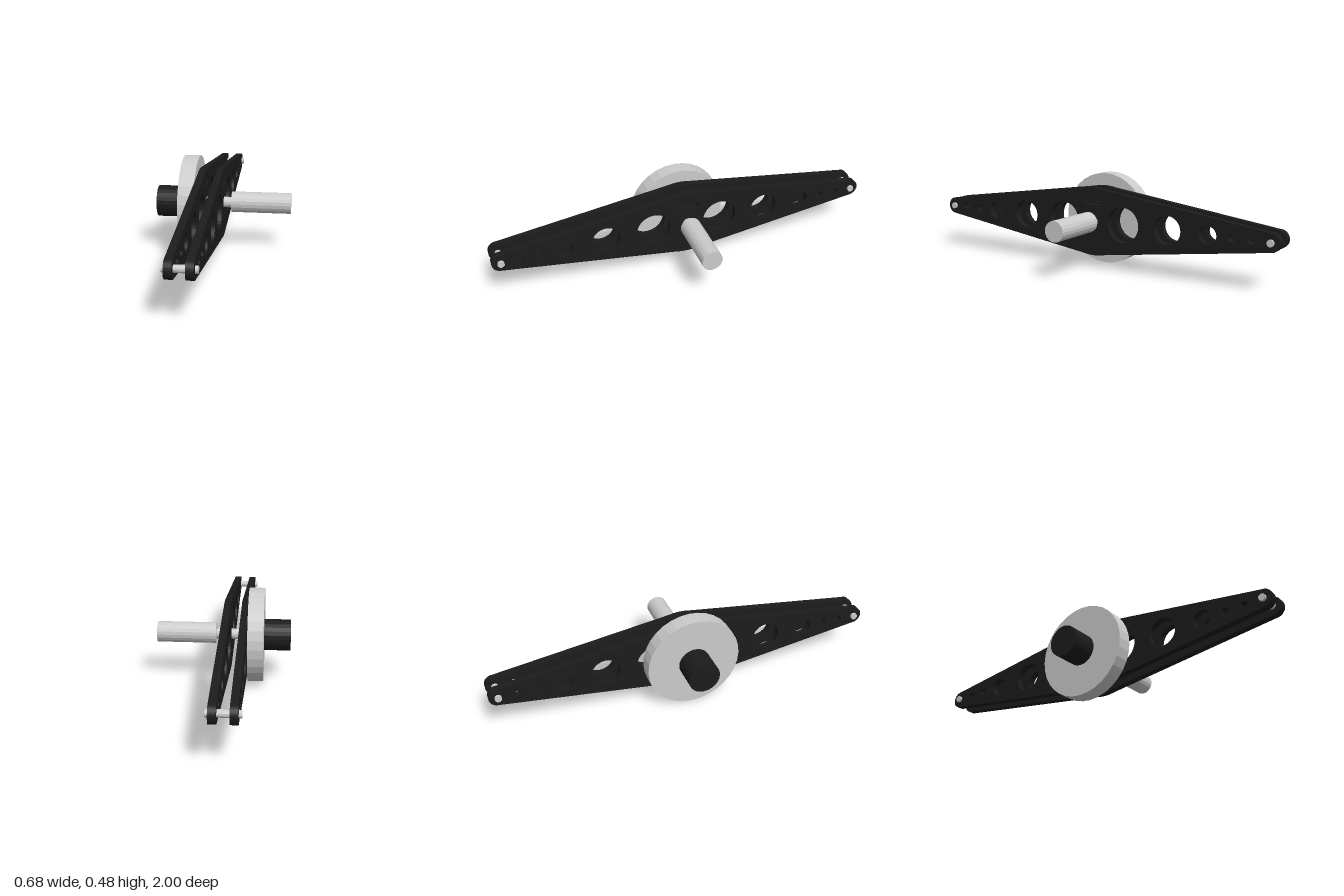
import * as THREE from 'three';

const CY = 0.241; // height of the main axis

export function createModel() {
  const root = new THREE.Group();
  const grey = new THREE.MeshStandardMaterial({ color: 0xcccccc, flatShading: true });
  const black = new THREE.MeshStandardMaterial({ color: 0x1c1c1c, flatShading: true });

  // Cylinder lying along x from x0 to x1
  function rod(name, x0, x1, r, sides, mat, y = CY, z = 0) {
    const geo = new THREE.CylinderGeometry(r, r, x1 - x0, sides).rotateZ(-Math.PI / 2);
    const mesh = new THREE.Mesh(geo, mat);
    mesh.name = name;
    mesh.position.set((x0 + x1) / 2, y, z);
    root.add(mesh);
  }

  // Tapered arm plate: rounded tips, softly rounded crown
  const tip = 0.045, tipZ = 1 - tip;
  const plate = new THREE.Shape();
  plate.moveTo(tipZ, tip);
  plate.lineTo(0.06, 0.17);
  plate.quadraticCurveTo(0, 0.183, -0.06, 0.17);
  plate.lineTo(-tipZ, tip);
  plate.absarc(-tipZ, 0, tip, Math.PI / 2, Math.PI * 1.5, false);
  plate.lineTo(-0.06, -0.17);
  plate.quadraticCurveTo(0, -0.183, 0.06, -0.17);
  plate.lineTo(tipZ, -tip);
  plate.absarc(tipZ, 0, tip, -Math.PI / 2, Math.PI / 2, false);

  // Lightening holes, shrinking toward the tips
  const holes = [[0.18, 0.09], [0.43, 0.073], [0.645, 0.045], [0.767, 0.019], [0.862, 0.018]];
  for (const side of [-1, 1]) {
    for (const [d, r] of holes) {
      plate.holes.push(new THREE.Path().absarc(side * d, 0, r, 0, Math.PI * 2, true));
    }
  }

  // Narrow slot above the shaft
  plate.holes.push(new THREE.Path([
    [-0.058, 0.09], [-0.058, 0.112], [0.058, 0.112], [0.058, 0.09], [-0.058, 0.09],
  ].map(([a, b]) => new THREE.Vector2(a, b))));

  const plateGeo = new THREE.ExtrudeGeometry(plate, { depth: 0.035, bevelEnabled: false, curveSegments: 16 });
  plateGeo.rotateY(Math.PI / 2);
  for (const [name, x] of [['innerArmPlate', -0.128], ['outerArmPlate', -0.039]]) {
    const mesh = new THREE.Mesh(plateGeo, black);
    mesh.name = name;
    mesh.position.set(x, CY, 0);
    root.add(mesh);
  }

  // Pins joining the plate tips
  for (const z of [-tipZ, tipZ]) rod('tipPin', -0.142, 0.009, 0.017, 16, grey, CY, z);

  // Central axis: knob, disc, shaft and handle
  rod('knob', -0.342, -0.207, 0.08, 24, black);
  rod('disc', -0.207, -0.128, 0.24, 32, grey);
  rod('shaft', -0.128, 0.04, 0.027, 20, grey, 0.243, -0.003);
  rod('handle', 0.038, 0.341, 0.053, 20, grey, 0.246, -0.003);

  return root;
}
